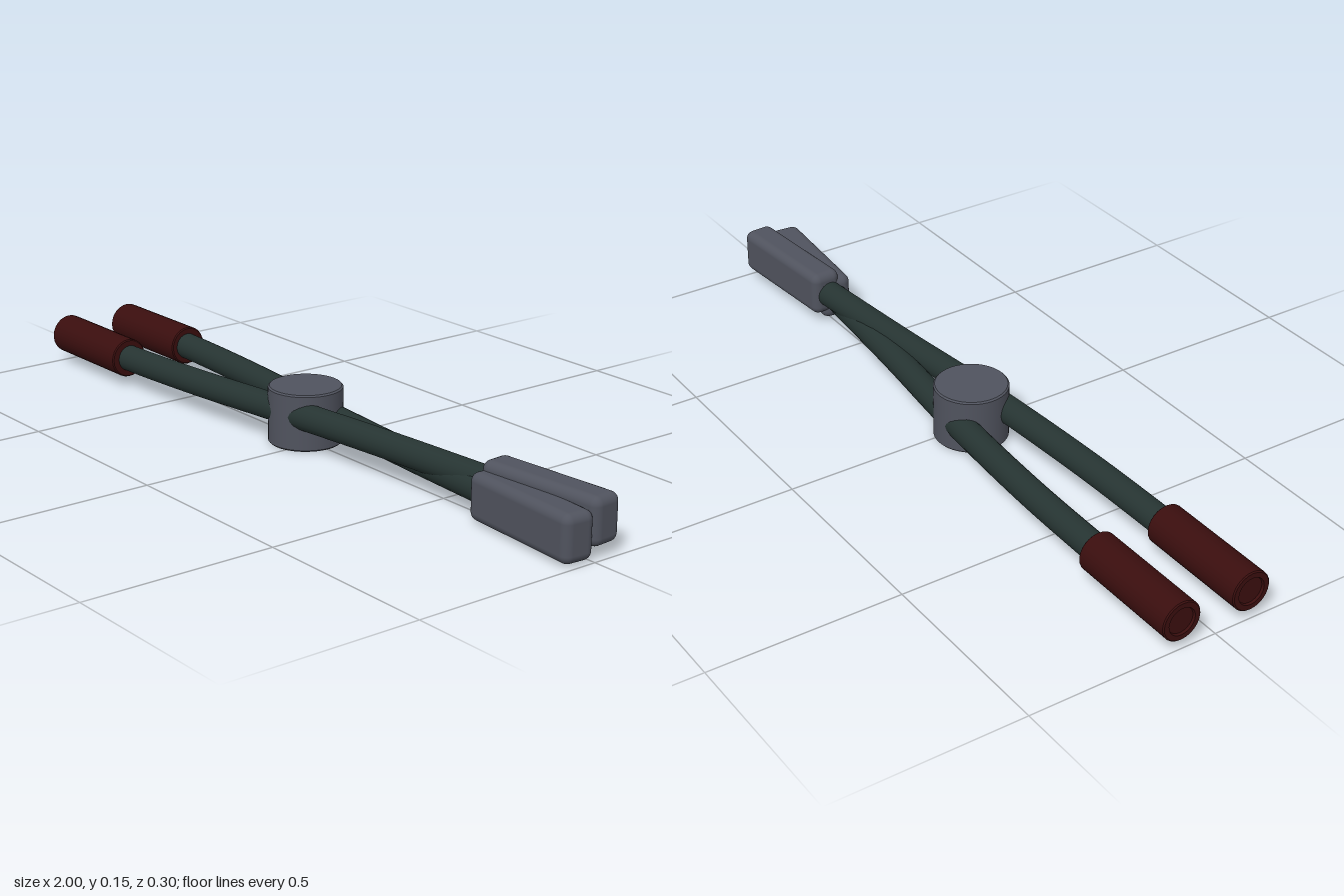
import * as THREE from 'three';
import { RoundedBoxGeometry } from 'three/addons/geometries/RoundedBoxGeometry.js';

const MID_Y = 0.075;

function material(name, color) {
  const m = new THREE.MeshStandardMaterial({ color });
  m.name = name;
  return m;
}

function mesh(name, geometry, mat) {
  const m = new THREE.Mesh(geometry, mat);
  m.name = name;
  return m;
}

// Lathe with crisp edges: every profile corner is doubled so each band keeps its own normals
function crispLathe(profile, segments) {
  const pts = [];
  profile.forEach(([r, y], i) => {
    pts.push(new THREE.Vector2(r, y));
    if (i > 0 && i < profile.length - 1) pts.push(new THREE.Vector2(r, y));
  });
  return new THREE.LatheGeometry(pts, segments);
}

export function createModel() {
  const steel = material('grey steel', 0x50535e);
  const rod = material('dark green rod', 0x263432);
  const rubber = material('dark red grip', 0x3a0e0e);

  const model = new THREE.Group();
  model.name = 'tongs';

  // Pivot drum
  const pivot = mesh('pivot', crispLathe([
    [0, 0], [0.091, 0], [0.095, 0.004], [0.095, 0.143], [0.091, 0.147], [0, 0.147],
  ], 40), steel);
  pivot.position.x = -0.03;
  model.add(pivot);

  // Two halves: side +1 passes over the other and crosses to the far jaw
  for (const side of [1, -1]) {
    const half = new THREE.Group();
    half.name = side > 0 ? 'upperHalf' : 'lowerHalf';

    // Curved arm: x, height offset, sideways offset
    const path = [
      [-0.95, 0, 0.097], [-0.69, 0, 0.095], [-0.4, 0.005, 0.085], [-0.03, 0.012, 0.055],
      [0.3, 0.011, 0.02], [0.68, 0.008, -0.012],
    ].map(([x, y, z]) => new THREE.Vector3(x, MID_Y + side * y, side * z));
    half.add(mesh('arm', new THREE.TubeGeometry(new THREE.CatmullRomCurve3(path), 40, 0.035, 20), rod));

    // Grip sleeve with a shallow recess in its end
    const grip = mesh('grip', crispLathe([
      [0, 0], [0.049, 0], [0.052, 0.003], [0.052, 0.307], [0.049, 0.31],
      [0.036, 0.31], [0.034, 0.304], [0, 0.304],
    ], 24), rubber);
    grip.rotation.z = Math.PI / 2;
    grip.position.set(-0.69, MID_Y, side * 0.097);
    half.add(grip);

    // Jaw block, splayed outwards towards the tip
    const jaw = mesh('jaw', new RoundedBoxGeometry(0.35, 0.118, 0.084, 4, 0.022), steel);
    jaw.position.set(0.822, MID_Y + side * 0.0115, side * -0.028);
    jaw.rotation.y = side * 0.078;
    half.add(jaw);

    model.add(half);
  }
  return model;
}
